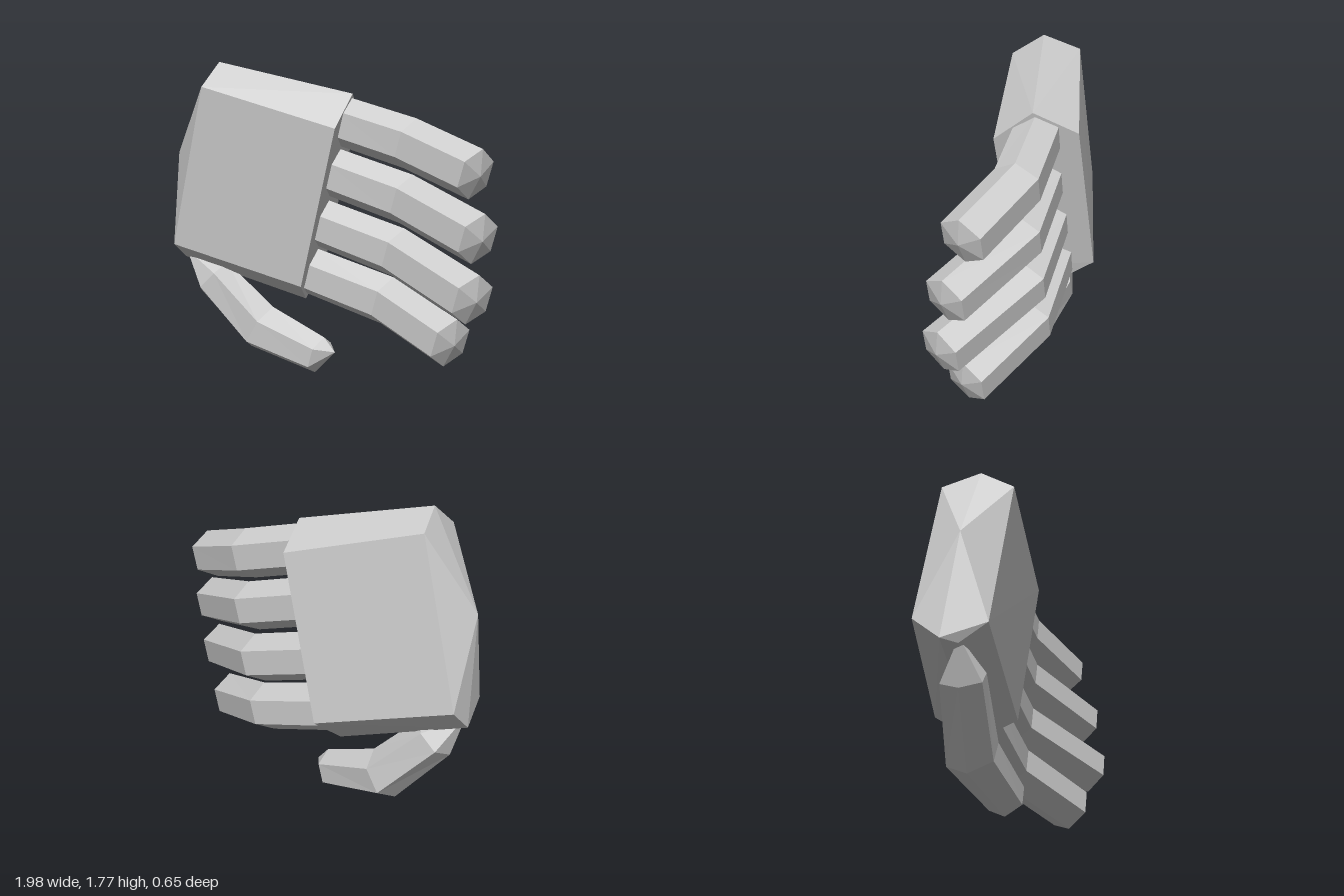
import * as THREE from 'three';
import { ConvexGeometry } from 'three/addons/geometries/ConvexGeometry.js';

const V = (p) => new THREE.Vector3(...p);
const SIDES = 6;

// Six-sided limb through the given centres, closed by a point at each end
function limb(centres, radii, base, tip) {
  const c = centres.map(V);
  const last = c.length - 1;
  const rings = c.map((p, i) => {
    const dir = new THREE.Vector3();
    if (i > 0) dir.add(p.clone().sub(c[i - 1]).normalize());
    if (i < last) dir.add(c[i + 1].clone().sub(p).normalize());
    dir.normalize();
    const up = new THREE.Vector3(0.25, 0.97, 0);
    up.addScaledVector(dir, -up.dot(dir)).normalize();
    const side = dir.clone().cross(up);
    return Array.from({ length: SIDES }, (_, j) => {
      const a = (j / SIDES) * Math.PI * 2;
      return p.clone()
        .addScaledVector(up, Math.cos(a) * radii[i])
        .addScaledVector(side, Math.sin(a) * radii[i]);
    });
  });
  const pts = [];
  const b = V(base), t = V(tip);
  for (let j = 0; j < SIDES; j++) {
    const k = (j + 1) % SIDES;
    pts.push(rings[0][k], rings[0][j], b);
    for (let i = 0; i < last; i++) {
      const r = rings[i], s = rings[i + 1];
      pts.push(r[j], r[k], s[k], r[j], s[k], s[j]);
    }
    pts.push(rings[last][j], rings[last][k], t);
  }
  const geo = new THREE.BufferGeometry().setFromPoints(pts);
  geo.computeVertexNormals();
  return geo;
}

export function createModel() {
  const group = new THREE.Group();
  group.name = 'hand';
  const grey = new THREE.MeshStandardMaterial({ color: 0xcccccc });
  grey.name = 'grey';
  const add = (name, geo) => {
    const mesh = new THREE.Mesh(geo, grey);
    mesh.name = name;
    group.add(mesh);
  };

  // Palm: slanted six-sided block with a pointed wrist end
  add('palm', new ConvexGeometry([
    // knuckle end
    [0.08, 1.44, 0.18], [0.08, 1.615, -0.04], [0, 1.49, -0.275],
    [-0.24, 0.58, -0.32], [-0.24, 0.41, -0.08], [-0.16, 0.53, 0.13],
    // wrist end
    [-0.69, 1.65, 0.3], [-0.69, 1.78, 0.11], [-0.76, 1.69, -0.09],
    [-1, 0.78, -0.13], [-1, 0.65, 0.02], [-0.95, 0.63, 0.1], [-0.93, 0.73, 0.25],
    [-0.975, 1.25, 0.11],
  ].map(V)));

  // Fingers: knuckle, bend and tip centres
  const fingers = {
    indexFinger: [[0.07, 1.445, -0.05], [0.42, 1.355, -0.055], [0.86, 1.23, 0.1]],
    middleFinger: [[0.02, 1.15, -0.055], [0.4, 1.045, -0.06], [0.91, 0.905, 0.18]],
    ringFinger: [[-0.07, 0.855, -0.065], [0.35, 0.74, -0.07], [0.9, 0.59, 0.22]],
    littleFinger: [[-0.16, 0.57, -0.075], [0.28, 0.455, -0.08], [0.75, 0.32, 0.14]],
  };
  for (const [name, path] of Object.entries(fingers)) {
    const [knuckle, bend, end] = path.map(V);
    const inDir = bend.clone().sub(knuckle).normalize();
    const outDir = end.clone().sub(bend).normalize();
    const start = knuckle.clone().addScaledVector(inDir, -0.06);
    const tip = end.clone().addScaledVector(outDir, 0.035);
    add(name, limb([start.toArray(), path[1], path[2]], [0.14, 0.143, 0.14],
      start.toArray(), tip.toArray()));
  }

  // Thumb: tapered, rooted at the lower wrist corner
  add('thumb', limb(
    [[-0.78, 0.52, 0.06], [-0.49, 0.23, 0], [-0.09, 0.12, 0.04]],
    [0.125, 0.147, 0.112],
    [-0.94, 0.67, 0.1], [0.015, 0.15, 0.05]));

  return group;
}
